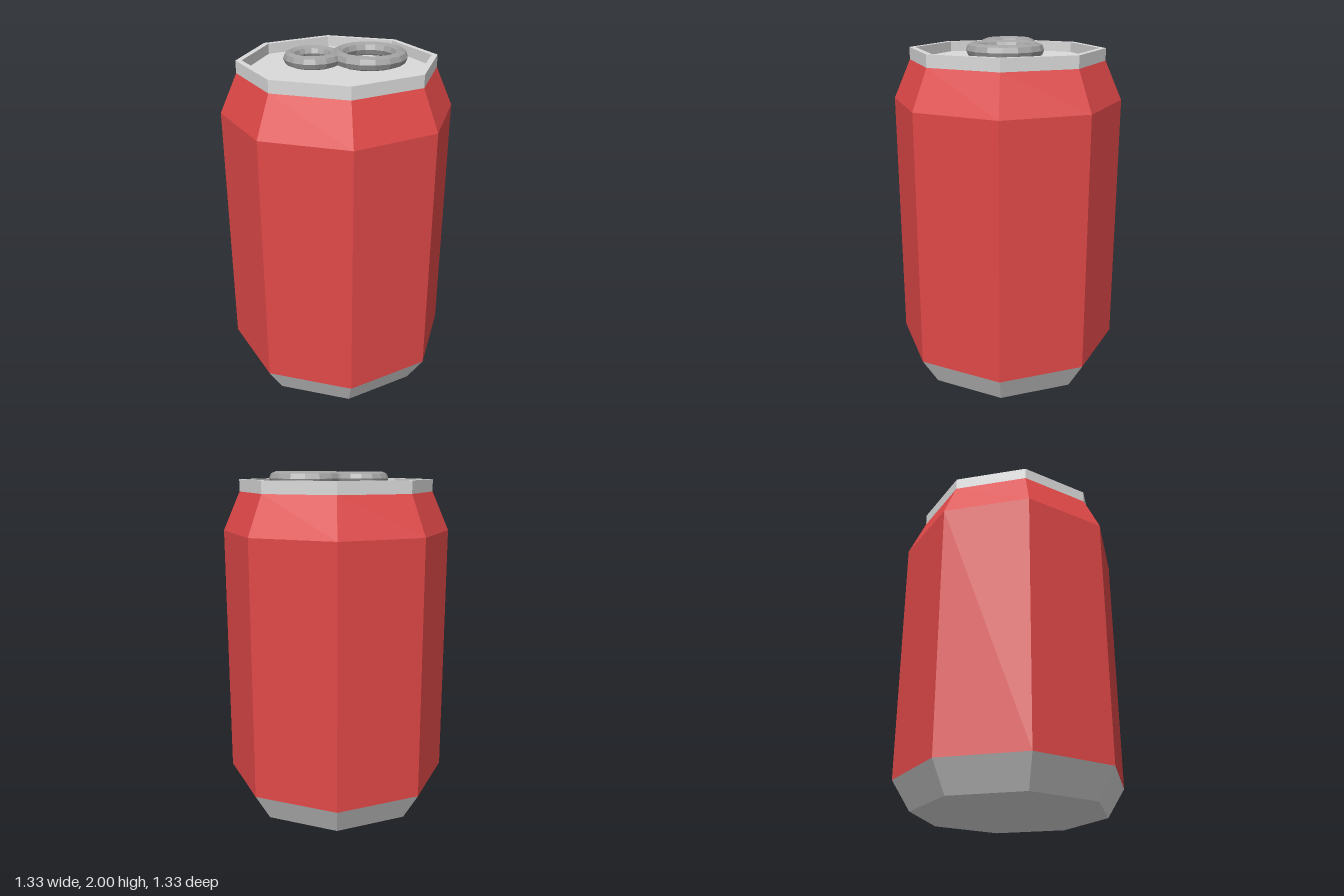
import * as THREE from 'three';

const SIDES = 8;

export function createModel() {
  const can = new THREE.Group();
  can.name = 'drinkCan';

  const material = (name, color) => {
    const m = new THREE.MeshStandardMaterial({ color, flatShading: true });
    m.name = name;
    return m;
  };
  const red = material('red', 0xe04848);
  const silver = material('silver', 0xdadada);
  const grey = material('grey', 0xa2a2a2);

  // Eight-sided shell from a [radius, height] profile, listed bottom to top on the outside
  const shell = (name, profile, mat) => {
    const points = profile.map(([r, y]) => new THREE.Vector2(r, y));
    const mesh = new THREE.Mesh(new THREE.LatheGeometry(points, SIDES), mat);
    mesh.name = name;
    can.add(mesh);
  };

  // Base with its bevel, painted body with shoulder, raised rim with sunken lid
  shell('base', [[0, 0], [0.56, 0], [0.665, 0.17]], silver);
  shell('body', [[0.665, 0.17], [0.665, 1.66], [0.565, 1.885]], red);
  shell('rimAndLid', [[0.565, 1.885], [0.565, 1.955], [0.53, 1.955], [0.53, 1.895], [0, 1.895]], silver);

  // Pull tab made of two touching rings
  const ring = (name, x, radius, tube, sides) => {
    const geometry = new THREE.TorusGeometry(radius, tube, 8, sides).rotateX(-Math.PI / 2);
    const mesh = new THREE.Mesh(geometry, grey);
    mesh.name = name;
    mesh.position.set(x, 1.96, 0);
    can.add(mesh);
  };
  ring('largeTabRing', 0.175, 0.176, 0.04, 16);
  ring('smallTabRing', -0.14, 0.127, 0.038, 16);

  return can;
}
